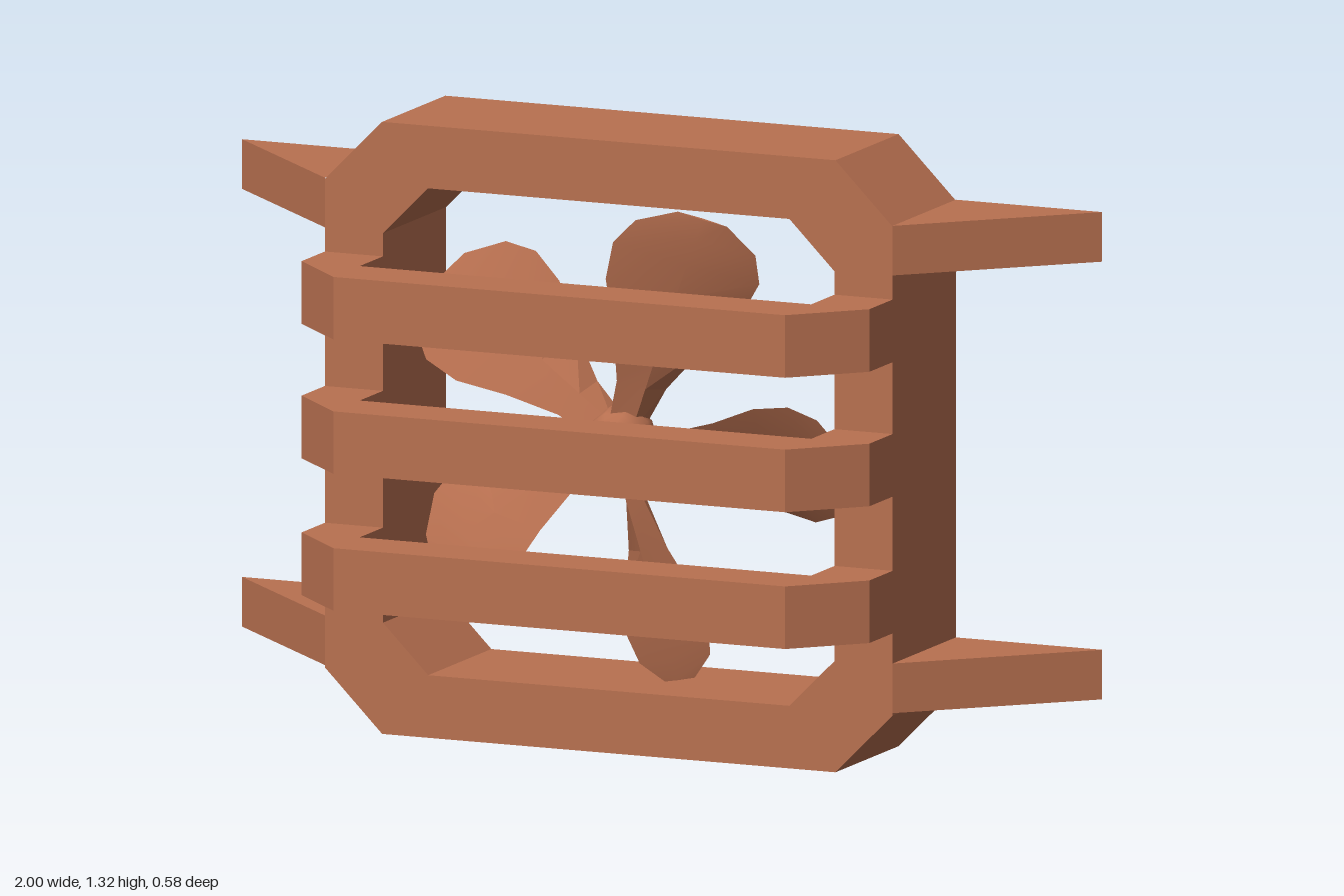
import * as THREE from 'three';
import { toCreasedNormals } from 'three/addons/utils/BufferGeometryUtils.js';

const BACK = -0.29, FACE = 0.035, CENTER_Y = 0.66;

const material = new THREE.MeshStandardMaterial({ color: 0xb87050, flatShading: true, side: THREE.DoubleSide });
const smoothMaterial = new THREE.MeshStandardMaterial({ color: 0xb87050, side: THREE.DoubleSide });

function add(parent, name, geometry, mat = material) {
  const mesh = new THREE.Mesh(geometry, mat);
  mesh.name = name;
  parent.add(mesh);
  return mesh;
}

const vectors = (points) => points.map(([x, y]) => new THREE.Vector2(x, y));

// Chamfered rectangle centred on the fan axis
function octagon(half, flat) {
  return vectors([
    [-flat, -half], [flat, -half], [half, -flat], [half, flat],
    [flat, half], [-flat, half], [-half, flat], [-half, -flat],
  ]);
}

function frameGeometry() {
  const shape = new THREE.Shape(octagon(0.66, 0.527));
  shape.holes.push(new THREE.Path(octagon(0.525, 0.42)));
  const geometry = new THREE.ExtrudeGeometry(shape, { depth: FACE - BACK, bevelEnabled: false });
  return geometry.translate(0, CENTER_Y, BACK);
}

// Bracket-shaped bar: plan outline in x and z, extruded down from y = 0
function guardGeometry() {
  const shape = new THREE.Shape(vectors([
    [0.66, FACE], [0.66, 0.155], [0.525, 0.29], [-0.525, 0.29], [-0.66, 0.155], [-0.66, FACE],
    [-0.525, FACE], [-0.525, 0.155], [0.525, 0.155], [0.525, FACE],
  ]));
  return new THREE.ExtrudeGeometry(shape, { depth: 0.135, bevelEnabled: false }).rotateX(Math.PI / 2);
}

// Wedge fin, open at the back: top, bottom and slanted face
function finGeometry(height) {
  const a = [0.66, BACK], b = [1, BACK], c = [0.66, FACE];
  const top = ([x, z]) => [x, height, z];
  const low = ([x, z]) => [x, 0, z];
  const corners = [
    top(a), top(c), top(b),
    low(a), low(b), low(c),
    low(c), low(b), top(b), low(c), top(b), top(c),
  ];
  const geometry = new THREE.BufferGeometry();
  geometry.setAttribute('position', new THREE.Float32BufferAttribute(corners.flat(), 3));
  geometry.computeVertexNormals();
  return geometry;
}

// Twisted blade along +x, lofted through flat diamond sections
function bladeGeometry() {
  // radius, half width, half thickness, pitch
  const sections = [
    [0.03, 0.045, 0.025, 0.95], [0.13, 0.06, 0.022, 0.85], [0.24, 0.105, 0.018, 0.72],
    [0.34, 0.155, 0.015, 0.62], [0.42, 0.165, 0.012, 0.56], [0.48, 0.135, 0.01, 0.53],
    [0.525, 0.055, 0.005, 0.5],
  ];
  const positions = [], index = [];
  sections.forEach(([r, w, t, pitch], i) => {
    const cos = Math.cos(pitch), sin = Math.sin(pitch);
    for (const [u, v] of [[-w, 0], [0, -t], [w, 0], [0, t]]) {
      positions.push(r, u * cos - v * sin, u * sin + v * cos);
    }
    if (i === 0) return;
    for (let k = 0; k < 4; k++) {
      const n = (k + 1) % 4, p = (i - 1) * 4, q = i * 4;
      index.push(p + k, p + n, q + n, p + k, q + n, q + k);
    }
  });
  const e = (sections.length - 1) * 4;
  index.push(0, 2, 1, 0, 3, 2, e, e + 1, e + 2, e, e + 2, e + 3);
  // Reverse the winding so that faces point outward
  for (let i = 0; i < index.length; i += 3) [index[i + 1], index[i + 2]] = [index[i + 2], index[i + 1]];
  index.reverse();
  const geometry = new THREE.BufferGeometry();
  geometry.setAttribute('position', new THREE.Float32BufferAttribute(positions, 3));
  geometry.setIndex(index);
  return toCreasedNormals(geometry, 0.25);
}

export function createModel() {
  const model = new THREE.Group();
  model.name = 'guardedFan';

  add(model, 'frame', frameGeometry());

  // Three guard bars across the front
  const bar = guardGeometry();
  for (const top of [0.445, 0.74, 1.03]) add(model, 'guardBar', bar).position.y = top;

  // Four mounting fins at the sides
  const fin = finGeometry(0.107);
  for (const side of [-1, 1]) {
    for (const y of [0.138, 1.082]) {
      const mesh = add(model, side > 0 ? 'leftFin' : 'rightFin', fin);
      mesh.position.y = y;
      mesh.scale.x = side;
    }
  }

  // Five-bladed fan
  const fan = new THREE.Group();
  fan.name = 'fan';
  fan.position.set(0, CENTER_Y + 0.005, -0.03);
  model.add(fan);
  const hub = new THREE.SphereGeometry(0.075, 10, 6).rotateX(Math.PI / 2).scale(1, 1, 1.1);
  add(fan, 'hub', hub, smoothMaterial);
  const blade = bladeGeometry();
  for (let i = 0; i < 5; i++) {
    add(fan, 'blade', blade, smoothMaterial).rotation.z = THREE.MathUtils.degToRad(-3 + 72 * i);
  }
  return model;
}
